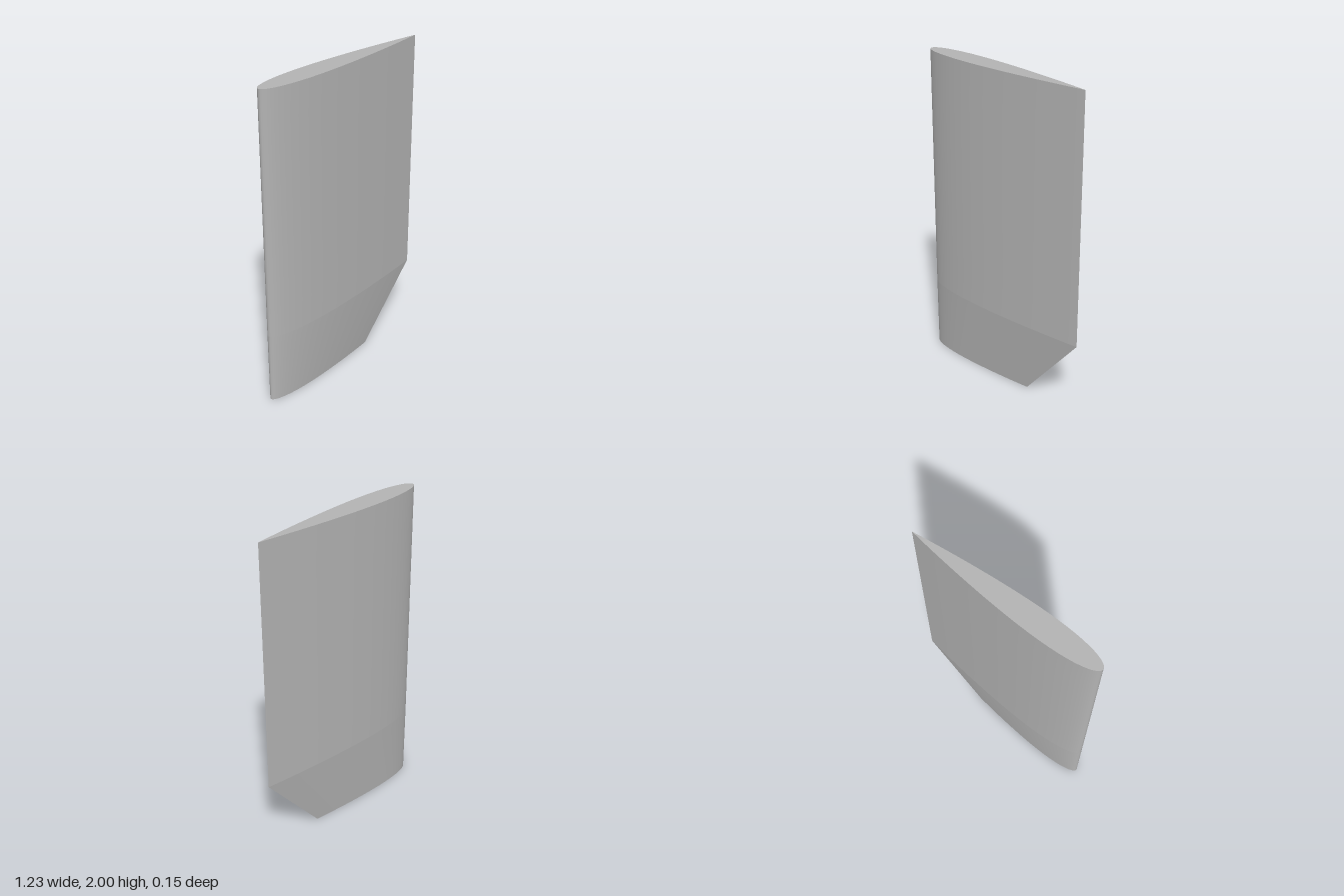
import * as THREE from 'three';

const STEPS = 28; // points per side of the foil
const LEAD = -0.613; // x of the straight leading edge

// Symmetric foil outline: tail, front side, nose, back side, tail
function foil(chord) {
  const points = [];
  for (let i = 0; i <= 2 * STEPS; i++) {
    const t = (1 + Math.cos((Math.PI * i) / STEPS)) / 2;
    const half = 0.6 * (0.2969 * Math.sqrt(t) - 0.126 * t - 0.3516 * t ** 2 + 0.2843 * t ** 3 - 0.1036 * t ** 4);
    points.push(new THREE.Vector2(LEAD + t * chord, (i <= STEPS ? 1 : -1) * half * chord));
  }
  return points;
}

// Skin lofted between two foil sections
function skin(chord0, y0, chord1, y1) {
  const rows = 8;
  const positions = [];
  const index = [];
  const n = 2 * STEPS + 1;
  for (let r = 0; r <= rows; r++) {
    const k = r / rows;
    const y = y0 + (y1 - y0) * k;
    for (const p of foil(chord0 + (chord1 - chord0) * k)) positions.push(p.x, y, p.y);
  }
  for (let r = 0; r < rows; r++) {
    for (let i = 0; i < n - 1; i++) {
      const a = r * n + i;
      index.push(a, a + n, a + 1, a + 1, a + n, a + n + 1);
    }
  }
  const geometry = new THREE.BufferGeometry();
  geometry.setAttribute('position', new THREE.Float32BufferAttribute(positions, 3));
  geometry.setIndex(index);
  geometry.computeVertexNormals();
  return geometry;
}

// Flat end of the blade; facing is 1 for up, -1 for down
function cap(chord, y, facing) {
  const geometry = new THREE.ShapeGeometry(new THREE.Shape(foil(chord).slice(0, -1)));
  return geometry.rotateX((-facing * Math.PI) / 2).translate(0, y, 0);
}

export function createModel() {
  const model = new THREE.Group();
  model.name = 'foilBlade';
  const grey = new THREE.MeshStandardMaterial({ color: 0xb3b3b3 });
  grey.name = 'grey';

  const add = (name, geometry) => {
    const mesh = new THREE.Mesh(geometry, grey);
    mesh.name = name;
    model.add(mesh);
  };

  const full = 1.226;
  const tip = 0.828;
  const bend = 0.46;
  add('mainBlade', skin(full, bend, full, 2));
  add('taperedTip', skin(tip, 0, full, bend));
  add('topCap', cap(full, 2, 1));
  add('bottomCap', cap(tip, 0, -1));
  return model;
}
